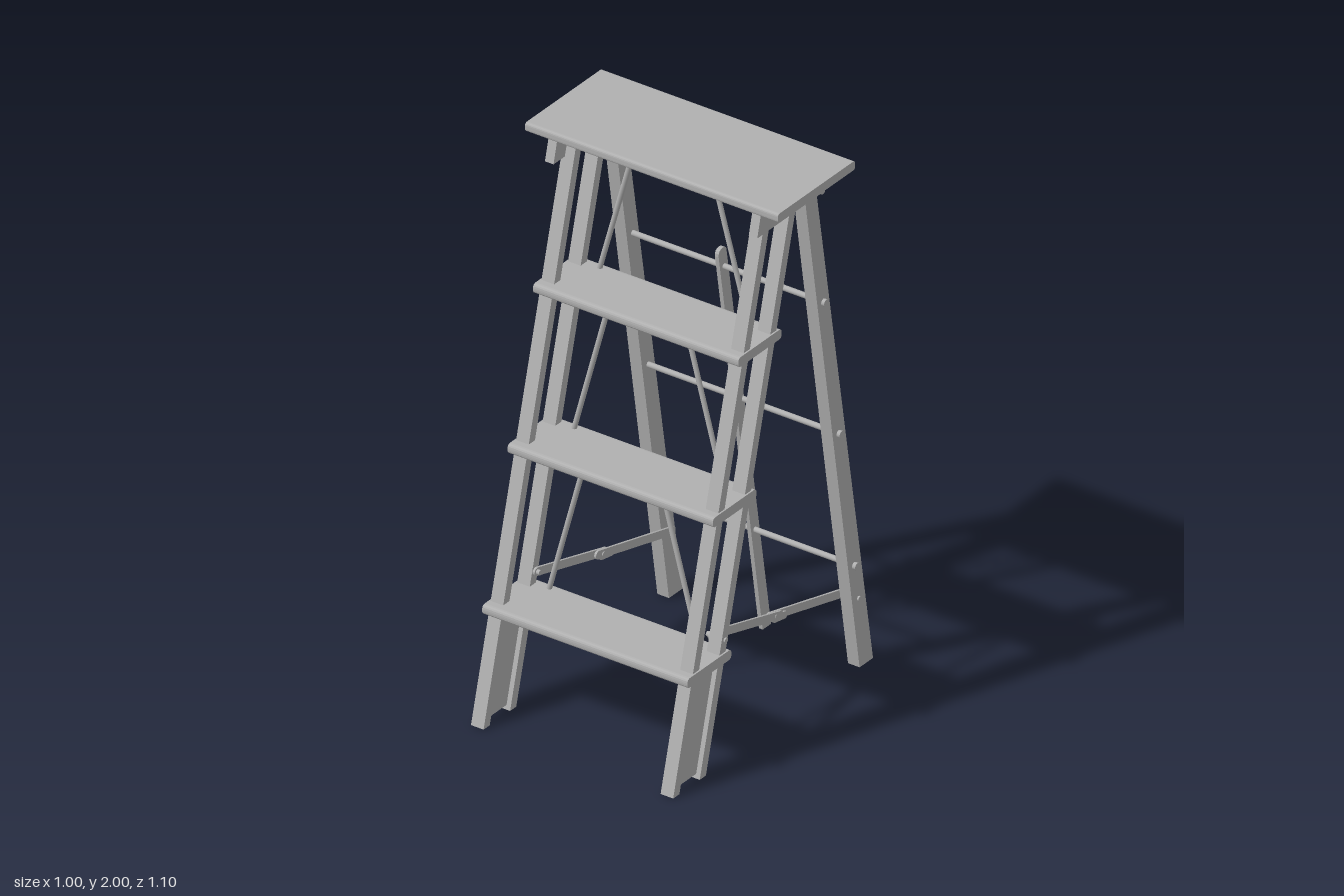
import * as THREE from 'three';

export function createModel() {
  const model = new THREE.Group();
  const grey = new THREE.MeshStandardMaterial({ color: 0xb0b0b0 });

  function add(name, geometry) {
    const mesh = new THREE.Mesh(geometry, grey);
    mesh.name = name;
    model.add(mesh);
    return mesh;
  }

  // Side profile in (z, y), extruded along x and centred on xMid
  function slab(name, profile, xMid, width) {
    const shape = profile instanceof THREE.Shape
      ? profile : new THREE.Shape(profile.map(([z, y]) => new THREE.Vector2(z, y)));
    const geometry = new THREE.ExtrudeGeometry(shape, { depth: width, bevelEnabled: false, curveSegments: 4 });
    geometry.translate(0, 0, -width / 2).rotateY(-Math.PI / 2).translate(xMid, 0, 0);
    return add(name, geometry);
  }

  // Board profile with rounded front and back edges
  function boardShape(z0, z1, y0, y1, r) {
    const s = new THREE.Shape();
    s.moveTo(z0 + r, y0);
    s.lineTo(z1 - r, y0);
    s.quadraticCurveTo(z1, y0, z1, y0 + r);
    s.lineTo(z1, y1 - r);
    s.quadraticCurveTo(z1, y1, z1 - r, y1);
    s.lineTo(z0 + r, y1);
    s.quadraticCurveTo(z0, y1, z0, y1 - r);
    s.lineTo(z0, y0 + r);
    s.quadraticCurveTo(z0, y0, z0 + r, y0);
    return s;
  }

  // Round bar between two points
  function rod(name, a, b, radius, sides = 12) {
    const from = new THREE.Vector3(...a), to = new THREE.Vector3(...b);
    const dir = to.clone().sub(from);
    const mesh = add(name, new THREE.CylinderGeometry(radius, radius, dir.length(), sides));
    mesh.position.copy(from).add(to).multiplyScalar(0.5);
    mesh.quaternion.setFromUnitVectors(new THREE.Vector3(0, 1, 0), dir.normalize());
    return mesh;
  }

  // Flat strap with rounded ends between two (z, y) points
  function strap(name, [z0, y0], [z1, y1], half, xMid, width) {
    const a = Math.atan2(y1 - y0, z1 - z0);
    const s = new THREE.Shape();
    s.absarc(z1, y1, half, a - Math.PI / 2, a + Math.PI / 2, false);
    s.absarc(z0, y0, half, a + Math.PI / 2, a + Math.PI * 1.5, false);
    return slab(name, s, xMid, width);
  }

  // Top platform and treads
  slab('topPlatform', boardShape(-0.31, 0.115, 1.967, 2, 0.011), 0, 1);
  const treads = [
    { y: 1.455, z0: -0.037, z1: 0.202 },
    { y: 0.925, z0: 0.102, z1: 0.342 },
    { y: 0.393, z0: 0.24, z1: 0.482 },
  ];
  for (const t of treads) {
    slab('tread', boardShape(t.z0, t.z1, t.y - 0.018, t.y + 0.018, 0.015), 0, 0.812);
  }

  const lean = 0.2637;   // front rails, z per unit of height
  const railTop = 1.968;
  const rail = (z0, z1) => [
    [z0, 0], [z1, 0], [z1 - lean * railTop, railTop], [z0 - lean * railTop, railTop],
  ];
  const legLean = 0.1604;  // rear legs
  const rungZ = (y) => -0.508 + legLean * y;

  for (const side of [1, -1]) {
    // Paired front rails with a web closing the foot
    slab('frontRail', rail(0.518, 0.552), side * 0.375, 0.05);
    slab('frontRail', rail(0.372, 0.406), side * 0.375, 0.05);
    slab('footWeb', [
      [0.395, 0.015], [0.525, 0.015], [0.525 - lean * 0.37, 0.38], [0.395 - lean * 0.37, 0.38],
    ], side * 0.375, 0.016);

    // Rear leg, slightly tapered, and its hinge bracket
    slab('rearLeg', [[-0.548, 0], [-0.474, 0], [-0.16, 1.968], [-0.222, 1.968]], side * 0.377, 0.046);
    slab('hingeBracket', [[-0.255, 1.885], [0.117, 1.885], [0.096, 1.968], [-0.298, 1.968]], side * 0.403, 0.034);
    rod('hingeBolt', [side * 0.415, 1.92, -0.203], [side * 0.45, 1.92, -0.203], 0.013);

    // Slanted tie rods below the platform and upper treads
    [[1.967, 1.46, -0.009], [1.45, 0.93, 0.132], [0.92, 0.4, 0.268]].forEach(([top, bottom, z]) =>
      rod('tieRod', [side * 0.155, top, z], [side * 0.297, bottom, z], 0.009));

    // Folding spreader with pivots
    const front = [0.267, 0.455], back = [-0.468, 0.26], mid = [-0.108, 0.351];
    strap('spreaderFront', front, mid, 0.015, side * 0.346, 0.008);
    strap('spreaderBack', [-0.06, 0.364], back, 0.015, side * 0.338, 0.008);
    strap('spreaderStop', [-0.08, 0.35], [-0.135, 0.34], 0.013, side * 0.342, 0.016);
    for (const [z, y] of [front, back]) {
      rod('spreaderPivot', [side * 0.33, y, z], [side * 0.406, y, z], 0.009);
    }
    rod('spreaderRivet', [side * 0.33, 0.357, -0.085], [side * 0.352, 0.357, -0.085], 0.008);

    // Rung end caps
    for (const t of treads) {
      rod('rungCap', [side * 0.398, t.y, rungZ(t.y)], [side * 0.412, t.y, rungZ(t.y)], 0.013);
    }
  }

  // Rear rungs and hinge rod
  for (const t of treads) {
    rod('rearRung', [-0.4, t.y, rungZ(t.y)], [0.4, t.y, rungZ(t.y)], 0.01);
  }
  rod('hingeRod', [-0.44, 1.92, -0.203], [0.44, 1.92, -0.203], 0.01);

  // Central prop pole with a rounded tip
  const pole = new THREE.Shape();
  const tipZ = rungZ(1.505);
  pole.moveTo(-0.533, 0);
  pole.lineTo(-0.487, 0);
  pole.lineTo(tipZ + 0.022, 1.5);
  pole.quadraticCurveTo(tipZ + 0.025, 1.527, tipZ, 1.527);
  pole.quadraticCurveTo(tipZ - 0.022, 1.527, tipZ - 0.022, 1.505);
  slab('propPole', pole, 0, 0.015);

  return model;
}
